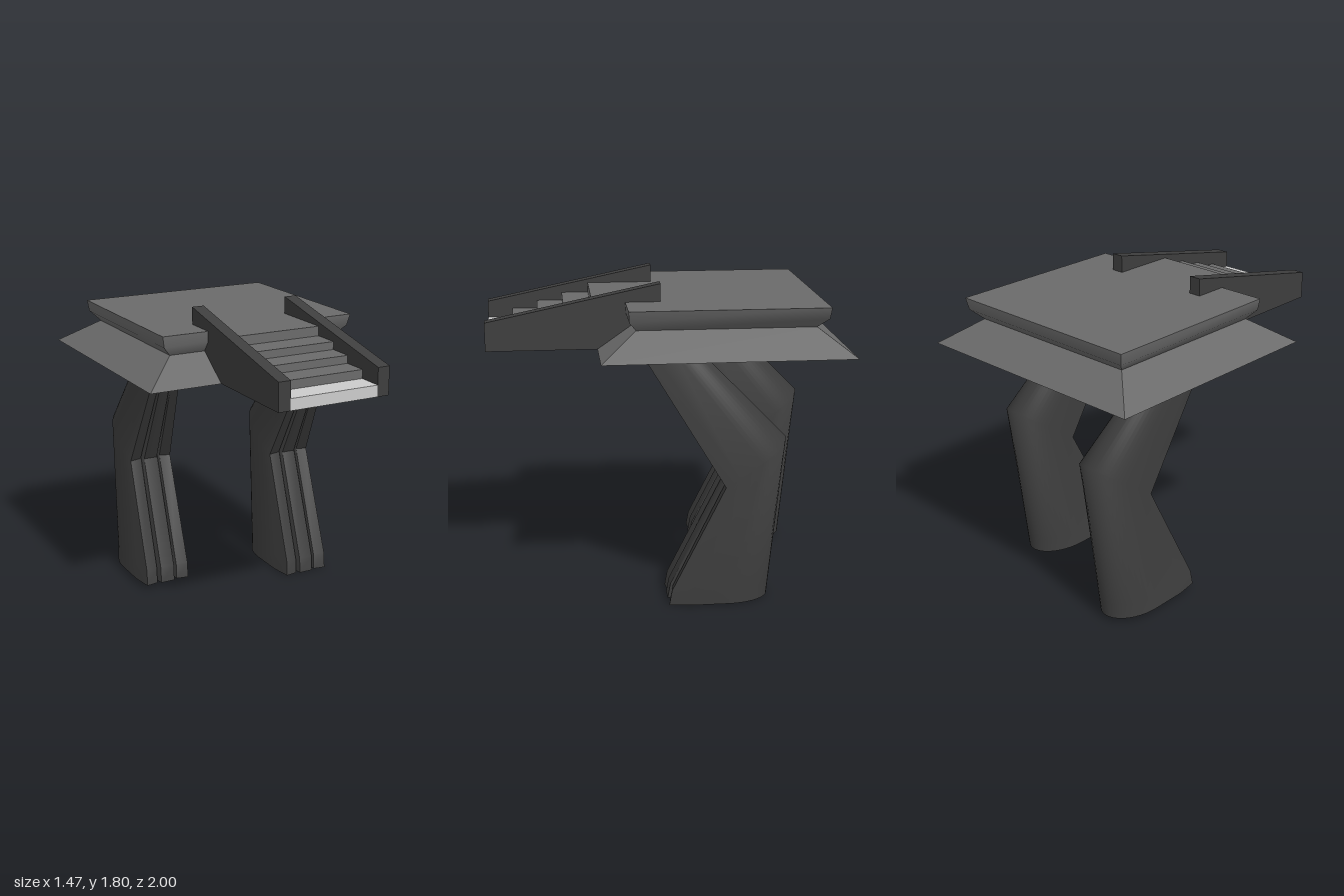
import * as THREE from 'three';
import { toCreasedNormals } from 'three/addons/utils/BufferGeometryUtils.js';

const material = (color) => new THREE.MeshStandardMaterial({ color });

// Closed solid through rings of [x, y, z] points, listed from bottom to top
function loft(rings, crease) {
  const n = rings[0].length;
  const index = [];
  for (let r = 0; r < rings.length - 1; r++) {
    for (let i = 0; i < n; i++) {
      const a = r * n + i, b = r * n + (i + 1) % n;
      index.push(a, b, b + n, a, b + n, a + n);
    }
  }
  const capFaces = (ring) => THREE.ShapeUtils.triangulateShape(
    ring.map(([x, , z]) => new THREE.Vector2(x, -z)), []);
  const last = (rings.length - 1) * n;
  for (const [a, b, c] of capFaces(rings[0])) index.push(a, c, b);
  for (const [a, b, c] of capFaces(rings[rings.length - 1])) index.push(last + a, last + b, last + c);
  const geometry = new THREE.BufferGeometry();
  geometry.setAttribute('position', new THREE.Float32BufferAttribute(rings.flat(2), 3));
  geometry.setIndex(index);
  return toCreasedNormals(geometry, crease);
}

// Leg outline: u runs across (-1..1), v runs from the back (0) to the toes (1)
function legOutline() {
  const points = [
    [-1, 0.78, 0], [-0.88, 1, 0], [-0.42, 0.98, 0], [-0.36, 0.87, 1],
    [-0.28, 1, 0], [0.28, 1, 0], [0.36, 0.87, 1], [0.42, 0.98, 0],
    [0.88, 1, 0], [1, 0.78, 0],
  ];
  const steps = 20;
  for (let i = 0; i <= steps; i++) {
    const t = (i / steps) * Math.PI;
    points.push([Math.cos(t), 0.42 - 0.42 * Math.sin(t), 0]);
  }
  return points;
}

function legGeometry() {
  // x range, front [z, y], back [z, y], groove strength
  const sections = [
    { x: [0.33, 0.645], front: [0.01, 0], back: [-0.57, 0], groove: 1 },
    { x: [0.335, 0.65], front: [-0.005, 0.09], back: [-0.577, 0.09], groove: 1 },
    { x: [0.375, 0.68], front: [-0.30, 0.71], back: [-0.65, 0.96], groove: 0.5 },
    { x: [0.375, 0.548], front: [0.155, 1.45], back: [-0.165, 1.45], groove: 0.2 },
  ];
  const outline = legOutline();
  const mix = THREE.MathUtils.lerp;
  const rings = sections.map(({ x, front, back, groove }) => outline.map(([u, v, isGroove]) => {
    const depth = isGroove ? 1 - (1 - v) * groove : v;
    return [mix(x[0], x[1], (u + 1) / 2), mix(back[1], front[1], depth), mix(back[0], front[0], depth)];
  }));
  return loft(rings, 0.92);
}

export function createModel() {
  const model = new THREE.Group();
  const stone = material(0x6a6a6a);
  const dark = material(0x3e3e3e);
  const light = material(0xcccccc);

  const add = (name, geometry, mat, parent = model) => {
    const mesh = new THREE.Mesh(geometry, mat);
    mesh.name = name;
    parent.add(mesh);
    return mesh;
  };

  // Platform: flared skirt, pinched neck and rounded lip [y, x0, x1, z0, z1]
  const levels = [
    [1.44, -0.735, 0.73, -1.0, 0.385],
    [1.58, -0.525, 0.54, -0.805, 0.185],
    [1.635, -0.575, 0.60, -0.86, 0.225],
    [1.70, -0.585, 0.62, -0.867, 0.23],
  ];
  add('platform', loft(levels.map(([y, x0, x1, z0, z1]) => [
    [x0, y, z1], [x1, y, z1], [x1, y, z0], [x0, y, z0],
  ]), 0.7), stone);

  // Stairs: a light lowest step and slabs rising to the platform
  const stairs = new THREE.Group();
  stairs.name = 'stairs';
  model.add(stairs);
  const edges = [1.0, 0.855, 0.71, 0.565, 0.41, 0.2];
  const tops = [1.505, 1.555, 1.60, 1.645, 1.70];
  tops.forEach((top, i) => {
    const height = 0.065;
    const step = add(`step${i + 1}`, new THREE.BoxGeometry(0.53, height, edges[i] - edges[i + 1]),
      i === 0 ? light : stone, stairs);
    step.position.set(0.025, top - height / 2, (edges[i] + edges[i + 1]) / 2);
  });

  // Sloping side walls of the stairs, drawn as (-z, y)
  const wall = new THREE.Shape([[-1, 1.44], [-0.035, 1.44], [-0.035, 1.80], [-1, 1.60]]
    .map(([a, y]) => new THREE.Vector2(a, y)));
  const wallGeometry = new THREE.ExtrudeGeometry(wall, { depth: 0.072, bevelEnabled: false });
  wallGeometry.rotateY(Math.PI / 2);
  add('rightStairWall', wallGeometry, dark, stairs).position.x = -0.311;
  add('leftStairWall', wallGeometry, dark, stairs).position.x = 0.29;

  // Bent legs in mid-stride, the right one further back and slightly raised
  const leg = legGeometry();
  add('leftLeg', leg, dark);
  const rightLeg = add('rightLeg', leg, dark);
  rightLeg.position.set(-0.863, 0.027, -0.23);

  return model;
}
